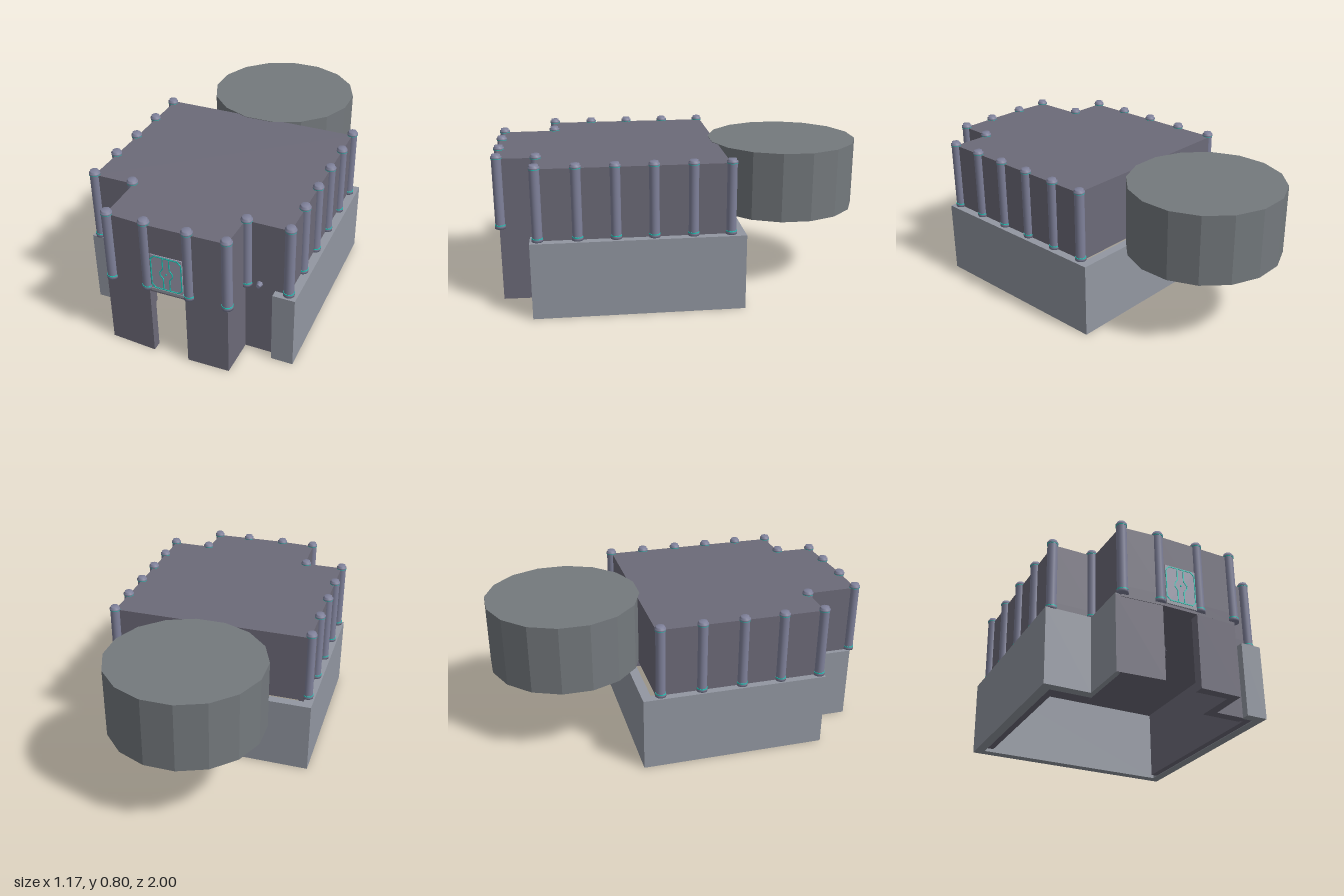
import * as THREE from 'three';

const mat = (color, extra = {}) => new THREE.MeshStandardMaterial({ color, ...extra });
const stone = mat(0x9297a1), dark = mat(0x6c6a78), drumGrey = mat(0x74797d, { flatShading: true });
const metal = mat(0x7f819a), teal = mat(0x1fc8b8), panel = mat(0x9a9aac);

export function createModel() {
  const model = new THREE.Group();

  const add = (name, geometry, material, x = 0, y = 0, z = 0, parent = model) => {
    const mesh = new THREE.Mesh(geometry, material);
    mesh.name = name;
    mesh.position.set(x, y, z);
    parent.add(mesh);
    return mesh;
  };

  // Plan outline [x, z] raised from y0 to y1
  const raise = (name, plan, y0, y1, material, hole) => {
    const shape = new THREE.Shape(plan.map(([x, z]) => new THREE.Vector2(x, -z)));
    if (hole) shape.holes.push(new THREE.Path().absarc(hole[0], -hole[1], hole[2], 0, Math.PI * 2, true));
    const geo = new THREE.ExtrudeGeometry(shape, { depth: y1 - y0, bevelEnabled: false, curveSegments: 24 });
    geo.rotateX(-Math.PI / 2);
    return add(name, geo, material, 0, y0, 0);
  };

  // Base: stone walls, one continuous outline open at the entrance side
  raise('baseWalls', [
    [-0.585, -0.29], [0.585, -0.29], [0.585, 0.81], [0.47, 0.81], [0.47, 0.76], [0.535, 0.76],
    [0.535, -0.24], [-0.535, -0.24], [-0.535, 0.66], [-0.32, 0.66], [-0.32, 0.965], [-0.345, 0.965],
    [-0.345, 0.71], [-0.585, 0.71],
  ], 0, 0.405, stone);

  // Base: dark entrance walls on both sides of the opening, and inner lining
  raise('entranceWallRight', [
    [-0.1, 0.98], [-0.345, 0.965], [-0.32, 0.94], [-0.32, 0.63], [-0.27, 0.63], [-0.27, 0.93], [-0.1, 0.93],
  ], 0, 0.4, dark);
  raise('entranceWallLeft', [
    [0.09, 0.98], [0.31, 0.975], [0.315, 0.77], [0.48, 0.77], [0.48, 0.72], [0.265, 0.72], [0.265, 0.93], [0.09, 0.93],
  ], 0, 0.4, dark);
  raise('liningRight', [
    [-0.535, -0.2], [-0.5, -0.2], [-0.5, 0.63], [-0.27, 0.63], [-0.27, 0.66], [-0.535, 0.66],
  ], 0.003, 0.4, dark);
  raise('liningLeft', [
    [0.535, -0.2], [0.535, 0.76], [0.47, 0.76], [0.47, 0.725], [0.5, 0.725], [0.5, -0.2],
  ], 0.003, 0.4, dark);

  // Upper hall on a floor with a round ceiling recess beneath
  const hall = [
    [-0.545, -0.21], [0.54, -0.21], [0.54, 0.77], [0.315, 0.77], [0.31, 0.975], [0.1, 0.98],
    [-0.1, 0.983], [-0.315, 0.97], [-0.32, 0.69], [-0.545, 0.69],
  ];
  const recess = [-0.1, 0.43, 0.27];
  raise('hallFloor', hall, 0.39, 0.45, dark, recess);
  raise('hall', hall, 0.45, 0.778, dark);
  const recessWall = new THREE.CylinderGeometry(0.268, 0.268, 0.055, 32, 1, true);
  add('recessWall', recessWall, mat(0x9297a1, { side: THREE.DoubleSide }), recess[0], 0.42, recess[1]);
  const rim = add('recessRim', new THREE.TorusGeometry(0.285, 0.012, 6, 32), dark, recess[0], 0.39, recess[1]);
  rim.rotation.x = Math.PI / 2;

  // Sixteen-sided rear drum
  const drum = new THREE.CylinderGeometry(0.415, 0.415, 0.375, 16);
  drum.rotateY(Math.PI / 16);
  add('rearDrum', drum, drumGrey, 0, 0.593, -0.593);

  // Columns with collars, caps and glowing bands
  const shaft = new THREE.LatheGeometry([
    [0, 0.403], [0.029, 0.403], [0.029, 0.417], [0.026, 0.425], [0.026, 0.778],
    [0.029, 0.782], [0.029, 0.79], [0.022, 0.793], [0.022, 0.802], [0, 0.802],
  ].map(([r, y]) => new THREE.Vector2(r, y)), 16);
  const band = new THREE.CylinderGeometry(0.0285, 0.0285, 0.005, 16);
  const spots = [[-0.33, 0.685], [-0.31, 0.97], [-0.112, 0.972], [0.11, 0.972], [0.307, 0.97], [0.322, 0.77]];
  for (const z of [-0.19, 0.03, 0.25, 0.465, 0.685]) spots.push([-0.547, z]);
  for (const z of [-0.215, -0.02, 0.18, 0.375, 0.57, 0.77]) spots.push([0.54, z]);
  for (const [x, z] of spots) {
    const column = new THREE.Group();
    column.name = 'column';
    column.position.set(x, 0, z);
    add('columnShaft', shaft, metal, 0, 0, 0, column);
    for (const y of [0.422, 0.781]) add('columnBand', band, teal, 0, y, 0, column);
    model.add(column);
  }

  // Door: panel, chamfered glowing frame, twin centre lines and lock
  const door = new THREE.Group();
  door.name = 'door';
  model.add(door);
  add('doorPanel', new THREE.BoxGeometry(0.168, 0.215, 0.02), panel, 0, 0.512, 0.977, door);
  add('doorSill', new THREE.BoxGeometry(0.168, 0.016, 0.024), stone, 0, 0.413, 0.978, door);
  const octagon = (w, h, c) => [
    [-w + c, -h], [w - c, -h], [w, -h + c], [w, h - c], [w - c, h], [-w + c, h], [-w, h - c], [-w, -h + c],
  ].map(([x, y]) => new THREE.Vector2(x, y));
  const frame = new THREE.Shape(octagon(0.082, 0.096, 0.02));
  frame.holes.push(new THREE.Path(octagon(0.077, 0.091, 0.018)));
  add('doorFrame', new THREE.ExtrudeGeometry(frame, { depth: 0.004, bevelEnabled: false }), teal, 0, 0.52, 0.986, door);
  const half = [[0.017, 0.092], [0.017, 0.03], [0.033, 0.008], [0.033, -0.008], [0.017, -0.03], [0.017, -0.092]];
  for (const side of [-1, 1]) {
    for (let i = 0; i < half.length - 1; i++) {
      const [x0, y0] = half[i], [x1, y1] = half[i + 1];
      const bar = add('doorLine', new THREE.BoxGeometry(0.005, Math.hypot(x1 - x0, y1 - y0) + 0.003, 0.004), teal,
        side * (x0 + x1) / 2, 0.52 + (y0 + y1) / 2, 0.988, door);
      bar.rotation.z = Math.atan2(side * (x1 - x0), y0 - y1);
    }
  }
  const lock = add('doorLock', new THREE.CylinderGeometry(0.005, 0.005, 0.006, 8), teal, 0, 0.52, 0.988, door);
  lock.rotation.x = Math.PI / 2;

  // Small wall fitting beside the entrance
  const fitting = add('wallFitting', new THREE.CylinderGeometry(0.01, 0.017, 0.025, 8), metal, 0.39, 0.425, 0.782);
  fitting.rotation.x = Math.PI / 2;

  return model;
}
